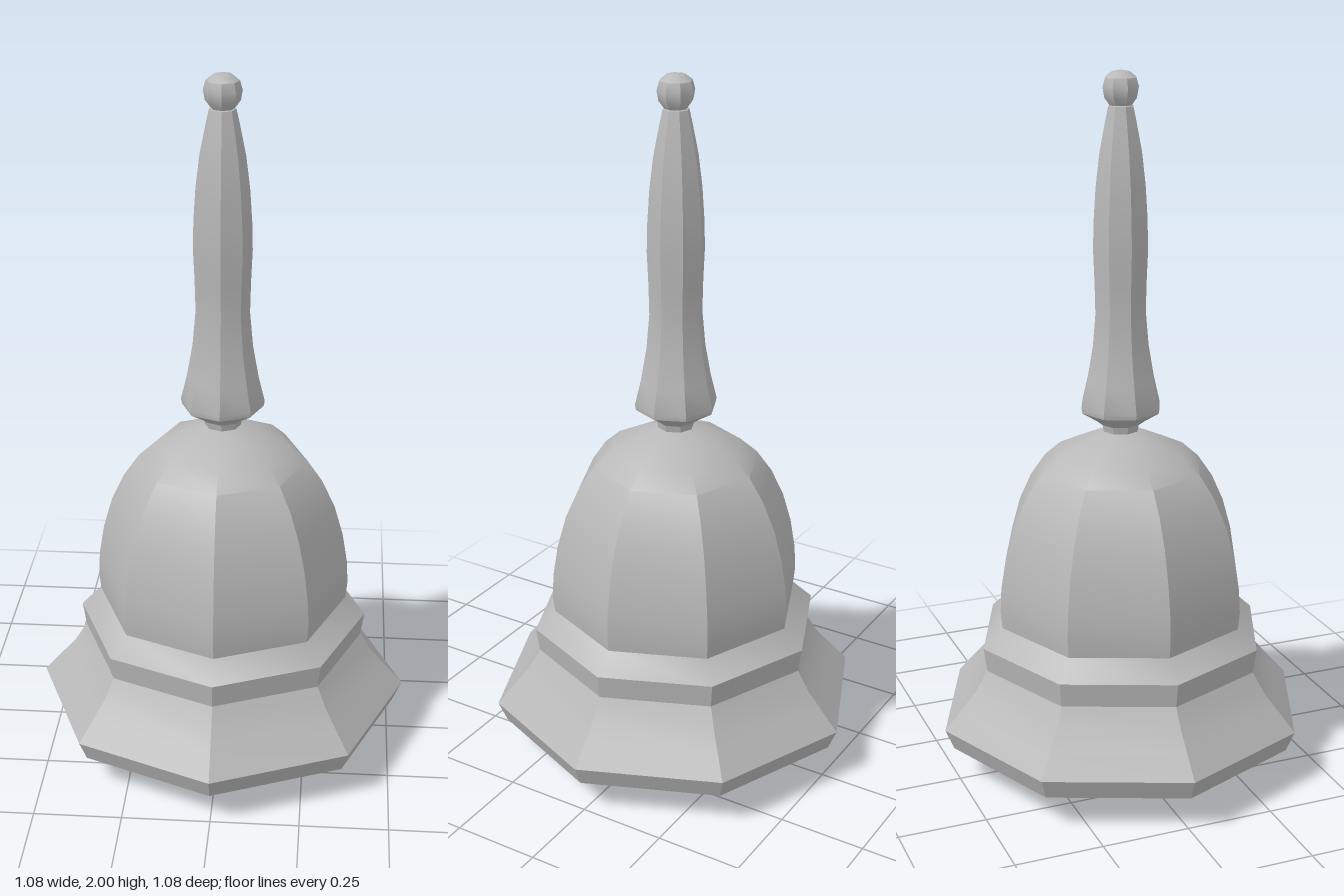
import * as THREE from 'three';
import { toCreasedNormals } from 'three/addons/utils/BufferGeometryUtils.js';

const SIDES = 8;

export function createModel() {
  const metal = new THREE.MeshStandardMaterial({ color: 0xb8b8b8 });
  metal.name = 'grey metal';
  const group = new THREE.Group();
  group.name = 'handBell';

  // Octagonal turned part from [radius, height] pairs, creased along its corners
  function turned(name, profile) {
    const points = profile.map(([r, y]) => new THREE.Vector2(r, y));
    const lathe = new THREE.LatheGeometry(points, SIDES);
    const mesh = new THREE.Mesh(toCreasedNormals(lathe, THREE.MathUtils.degToRad(32)), metal);
    mesh.name = name;
    group.add(mesh);
  }

  // Bell: inside wall downwards, then rim, flare, band and dome upwards
  turned('bell', [
    [0, 0.95], [0.14, 0.92], [0.23, 0.84], [0.3, 0.68], [0.33, 0.5], [0.36, 0.36], [0.42, 0.22], [0.5, 0.1],
    [0.515, 0.1], [0.54, 0.16],
    [0.49, 0.217], [0.445, 0.268], [0.41, 0.325],
    [0.42, 0.395], [0.362, 0.45],
    [0.367, 0.5], [0.363, 0.57], [0.348, 0.66], [0.322, 0.75], [0.285, 0.83],
    [0.24, 0.895], [0.19, 0.94], [0.125, 0.97], [0.055, 1.0], [0, 1.005],
  ]);

  // Handle: narrow neck, flared foot and swelling grip
  turned('handle', [
    [0, 0.99], [0.05, 0.995], [0.055, 1.02], [0.075, 1.035], [0.115, 1.06], [0.118, 1.075],
    [0.1, 1.15], [0.084, 1.24], [0.075, 1.34], [0.077, 1.43], [0.081, 1.52], [0.079, 1.6],
    [0.073, 1.69], [0.062, 1.78], [0.046, 1.86], [0.036, 1.905], [0, 1.92],
  ]);

  // Knob on the end of the handle
  turned('knob', [
    [0, 1.895], [0.03, 1.905], [0.047, 1.928], [0.052, 1.955], [0.045, 1.98], [0.026, 1.995], [0, 2],
  ]);

  // Clapper: rounded ball with a rod up into the dome
  turned('clapper', [
    [0, 0], [0.045, 0.005], [0.075, 0.022], [0.087, 0.055], [0.087, 0.095], [0.07, 0.13],
    [0.042, 0.155], [0.037, 0.22], [0.04, 0.36], [0.04, 0.6], [0.04, 0.96],
  ]);

  return group;
}
